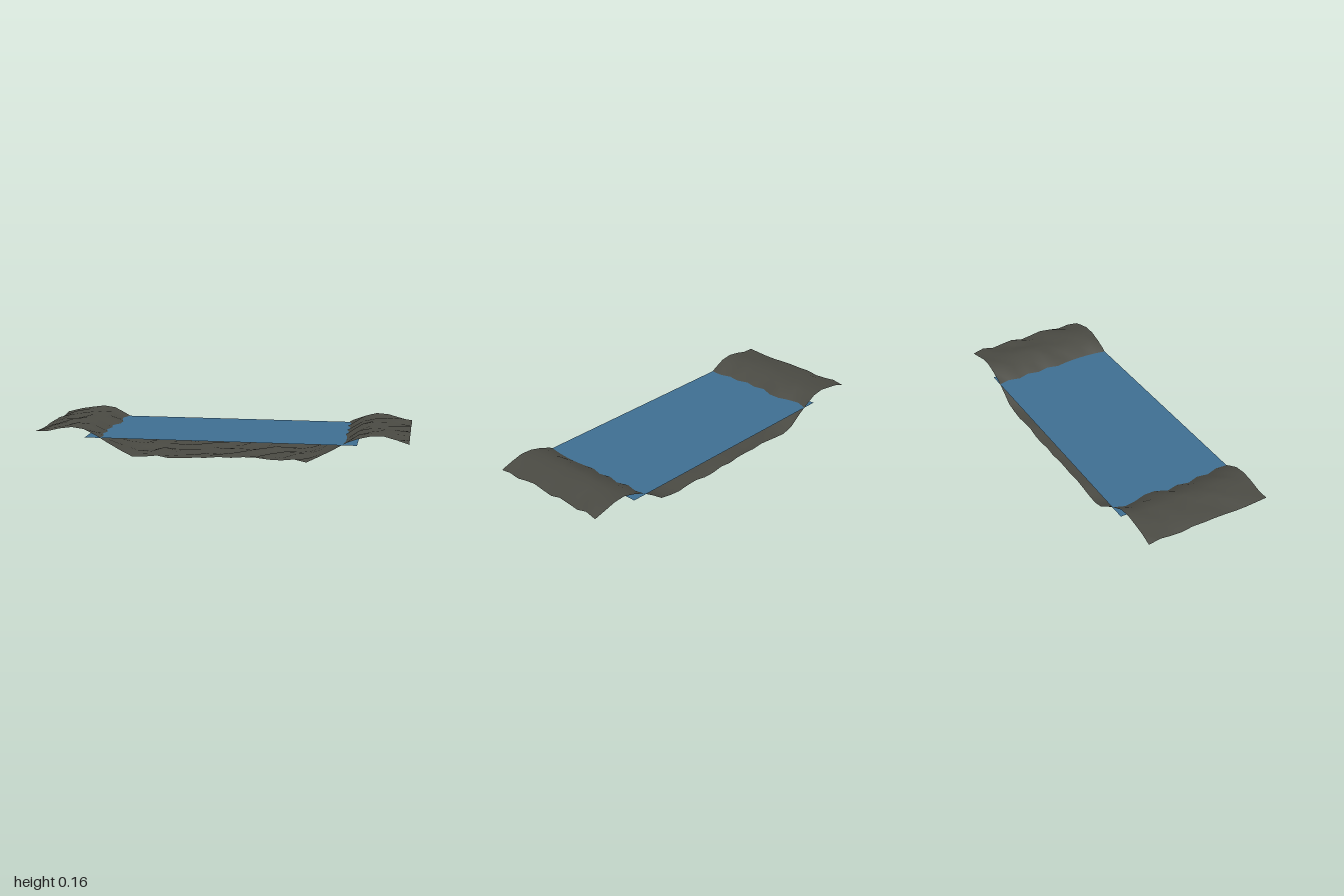
import * as THREE from 'three';

const COLS = 30, ROWS = 11, WIDTH = 2, DEPTH = 0.7, WATER_Y = 0.1;

// Half cross-section of the channel: distance from the centre line, height
const PROFILE = [
  [0, 0.01], [0.467, 0.011], [0.533, 0.03], [0.6, 0.069], [0.667, 0.109],
  [0.733, 0.142], [0.8, 0.154], [0.867, 0.146], [1, 0.124],
];
// Distance of each waterline from the centre, row by row from back to front
const LEFT_SHORE = [0.645, 0.66, 0.645, 0.665, 0.65, 0.665, 0.65, 0.66, 0.665, 0.665, 0.66, 0.65];
const RIGHT_SHORE = [0.645, 0.67, 0.66, 0.64, 0.64, 0.67, 0.655, 0.67, 0.65, 0.66, 0.64, 0.645];
// Height of the outer edge on the left bank, back to front
const LEFT_EDGE = [0.115, 0.131, 0.115, 0.124, 0.131, 0.115, 0.124, 0.134, 0.126, 0.114, 0.122, 0.114];

function profileHeight(d) {
  for (let i = 1; i < PROFILE.length; i++) {
    const [d0, h0] = PROFILE[i - 1], [d1, h1] = PROFILE[i];
    if (d <= d1 + 1e-4) return h0 + (h1 - h0) * (d - d0) / (d1 - d0);
  }
  return PROFILE[PROFILE.length - 1][1];
}

// Small seeded generator, -1 to 1
function makeNoise(seed) {
  return () => {
    seed = (seed * 16807) % 2147483647;
    return (seed / 2147483647) * 2 - 1;
  };
}

function groundHeight(x, row, noise) {
  const d = Math.abs(x);
  const bump = noise();
  if (x > 0.999) return LEFT_EDGE[row];
  // Bank vertices beside the waterline follow the shore outline
  if (d > 0.58 && d < 0.69) {
    const shore = (x > 0 ? LEFT_SHORE : RIGHT_SHORE)[row];
    return profileHeight(d) - (shore - 0.652) * 0.6;
  }
  return Math.max(0, profileHeight(d) + bump * (d < 0.5 ? 0.01 : 0.008));
}

export function createModel() {
  const group = new THREE.Group();
  group.name = 'riverSection';

  const earth = new THREE.MeshStandardMaterial({ color: 0x4a4a43, side: THREE.DoubleSide });
  earth.name = 'dark earth';
  const blue = new THREE.MeshStandardMaterial({ color: 0x3f6f92, side: THREE.DoubleSide });
  blue.name = 'water blue';

  // Riverbed and banks: a smooth, slightly uneven sheet
  const ground = new THREE.PlaneGeometry(WIDTH, DEPTH, COLS, ROWS).rotateX(-Math.PI / 2);
  const pos = ground.attributes.position;
  const noise = makeNoise(4711);
  for (let i = 0; i < pos.count; i++) {
    const row = Math.floor(i / (COLS + 1));
    pos.setY(i, groundHeight(pos.getX(i), row, noise));
  }
  ground.computeVertexNormals();
  const bed = new THREE.Mesh(ground, earth);
  bed.name = 'riverbedAndBanks';
  group.add(bed);

  // Flat water sheet running a little way into both banks
  const water = new THREE.Mesh(new THREE.PlaneGeometry(1.46, DEPTH).rotateX(-Math.PI / 2), blue);
  water.position.y = WATER_Y;
  water.name = 'waterSurface';
  group.add(water);

  return group;
}
